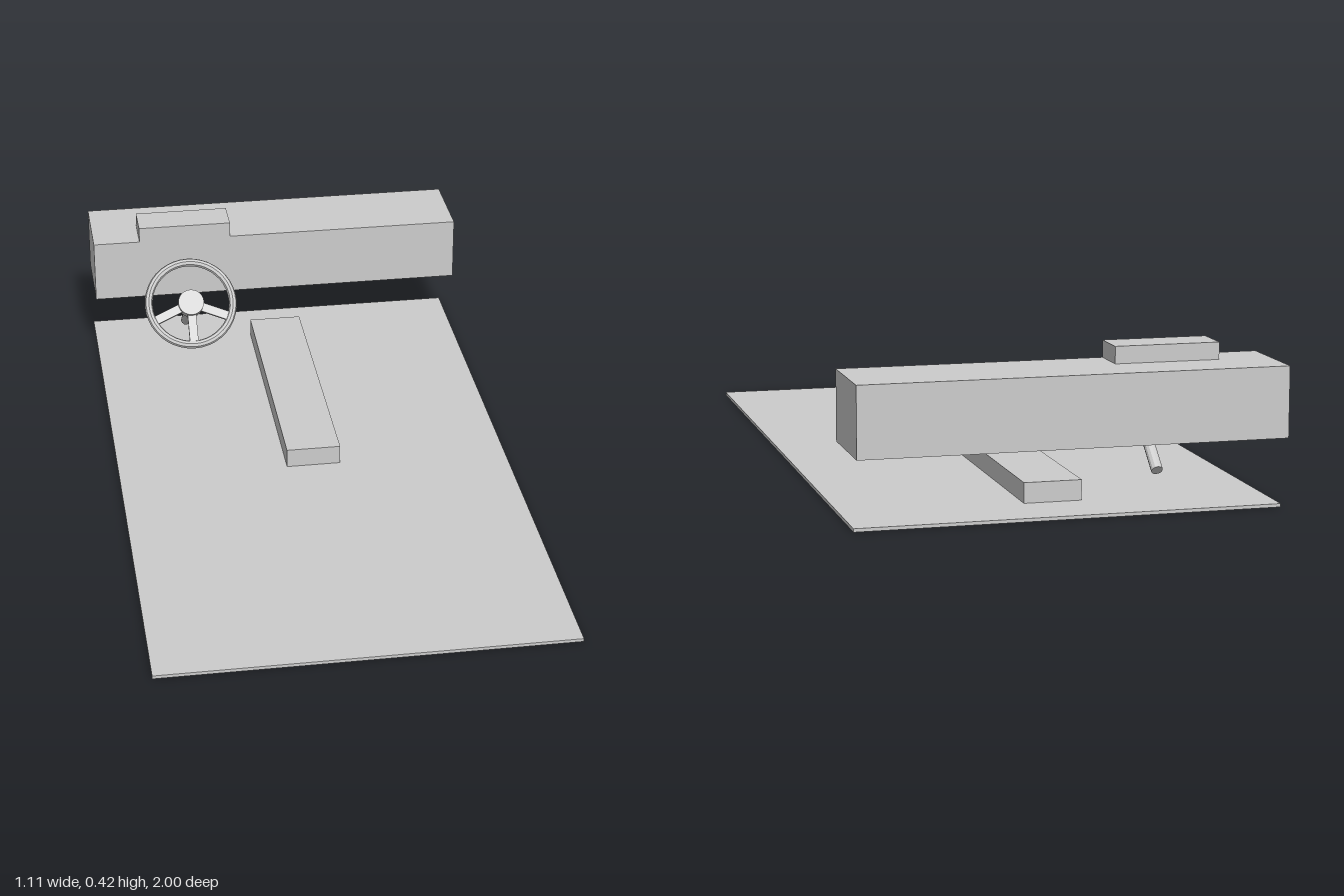
import * as THREE from 'three';

export function createModel() {
  const model = new THREE.Group();
  model.name = 'cockpitInterior';
  const grey = new THREE.MeshStandardMaterial({ color: 0xcccccc });
  grey.name = 'light grey';
  grey.flatShading = true;

  const add = (parent, name, geometry) => {
    const mesh = new THREE.Mesh(geometry, grey);
    mesh.name = name;
    parent.add(mesh);
    return mesh;
  };

  // Box given by its limits on each axis
  const block = (name, [x0, x1], [y0, y1], [z0, z1]) => {
    const mesh = add(model, name, new THREE.BoxGeometry(x1 - x0, y1 - y0, z1 - z0));
    mesh.position.set((x0 + x1) / 2, (y0 + y1) / 2, (z0 + z1) / 2);
  };

  block('floor', [-0.557, 0.557], [0, 0.009], [-0.955, 1]);
  block('centreTunnel', [-0.077, 0.077], [0.009, 0.063], [-0.788, 0.03]);
  block('dashboard', [-0.557, 0.557], [0.188, 0.373], [-1, -0.754]);
  block('instrumentPod', [-0.418, -0.14], [0.373, 0.418], [-0.862, -0.754]);

  // Steering assembly: local +z points along the column towards the driver
  const steering = new THREE.Group();
  steering.name = 'steeringWheel';
  steering.position.set(-0.279, 0.2215, -0.6185);
  steering.rotation.x = THREE.MathUtils.degToRad(-40);
  model.add(steering);

  add(steering, 'rim', new THREE.TorusGeometry(0.128, 0.012, 8, 40));

  const hub = add(steering, 'hub', new THREE.CylinderGeometry(0.039, 0.039, 0.034, 24));
  hub.rotation.x = Math.PI / 2;

  const column = add(steering, 'column', new THREE.CylinderGeometry(0.0155, 0.0155, 0.225, 12));
  column.rotation.x = Math.PI / 2;
  column.position.z = -0.1125;

  // Three spokes: two at the sides, sloping down, and one straight down
  for (const degrees of [-23, -90, -157]) {
    const angle = THREE.MathUtils.degToRad(degrees);
    const spoke = add(steering, 'spoke', new THREE.BoxGeometry(0.1, 0.026, 0.011));
    spoke.rotation.z = angle;
    spoke.position.set(Math.cos(angle) * 0.076, Math.sin(angle) * 0.076, 0);
  }

  return model;
}
